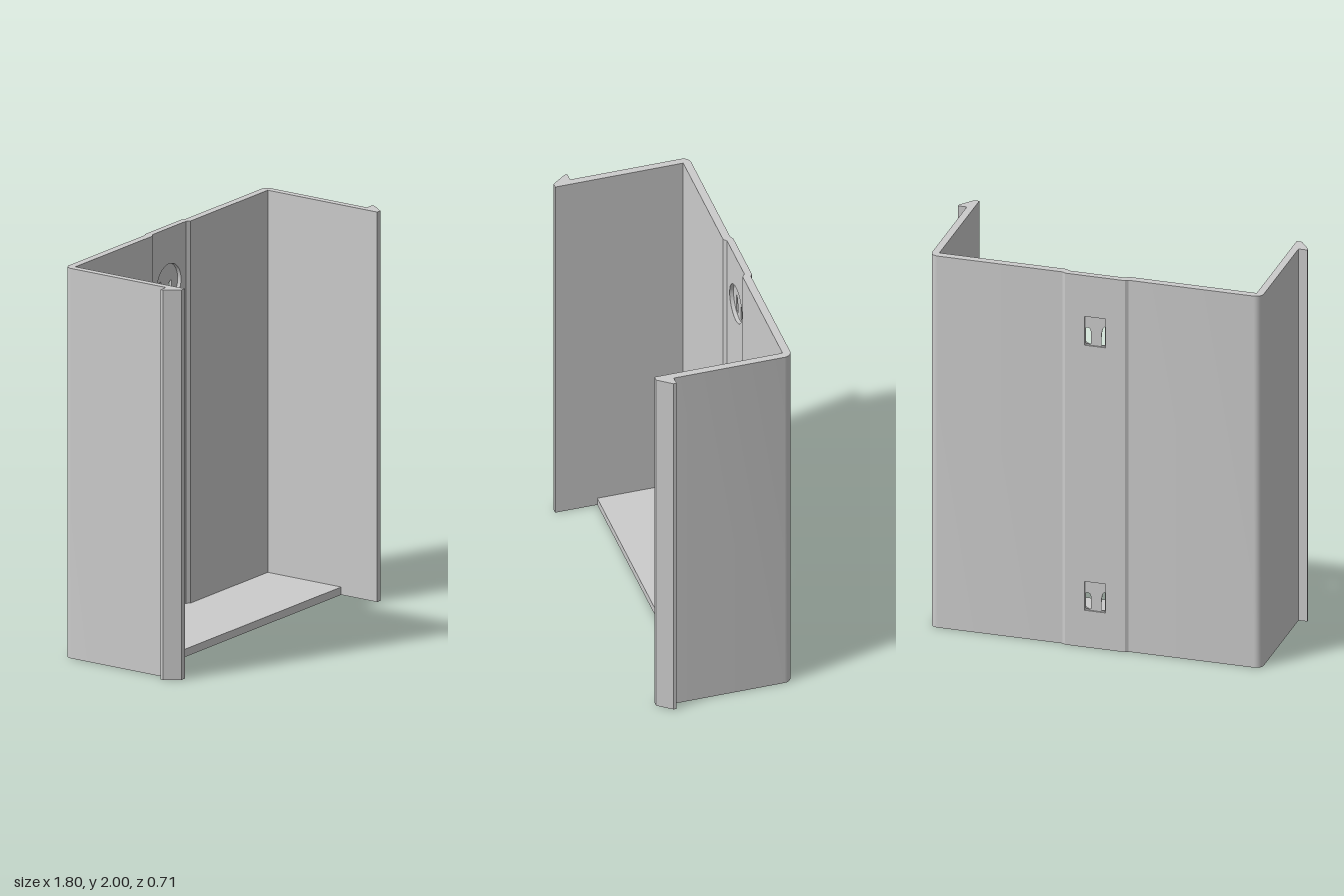
import * as THREE from 'three';
import { toCreasedNormals } from 'three/addons/utils/BufferGeometryUtils.js';

const HEIGHT = 2, HOLE_Y = [0.288, 1.715], STRIP = 0.14;
const material = new THREE.MeshStandardMaterial({ color: 0xcccccc });

function mesh(name, geometry) {
  const m = new THREE.Mesh(toCreasedNormals(geometry, 0.5), material);
  m.name = name;
  return m;
}

// Extrude an outline of [x, z] points upwards from y = 0
function extrudeUp(points, height) {
  const shape = new THREE.Shape(points.map(([x, z]) => new THREE.Vector2(x, -z)));
  return new THREE.ExtrudeGeometry(shape, { depth: height, bevelEnabled: false }).rotateX(-Math.PI / 2);
}

// Half of the channel: back panel, rounded corner, side wall and hooked lip
function halfProfile(side) {
  const corner = [];
  for (let i = 0; i <= 8; i++) {
    const a = (i / 8) * Math.PI / 2;
    corner.push([0.815 + 0.04 * Math.sin(a), -0.305 - 0.04 * Math.cos(a)]);
  }
  return [
    [STRIP, -0.355], [0.155, -0.355], [0.17, -0.345],
    ...corner,
    [0.855, 0.267], [0.9, 0.267], [0.9, 0.282], [0.845, 0.355], [0.818, 0.355],
    [0.818, -0.305], [0.162, -0.305], [0.142, -0.32], [STRIP, -0.32],
  ].map(([x, z]) => [x * side, z]);
}

// One layer of the raised centre strip, pierced by the given openings
function stripLayer(name, zBack, zFront, makeHoles) {
  const s = new THREE.Shape();
  s.moveTo(-STRIP, 0).lineTo(STRIP, 0).lineTo(STRIP, HEIGHT).lineTo(-STRIP, HEIGHT).closePath();
  HOLE_Y.forEach((y) => s.holes.push(...makeHoles(y)));
  const g = new THREE.ExtrudeGeometry(s, { depth: zFront - zBack, bevelEnabled: false, curveSegments: 40 });
  return mesh(name, g.translate(0, 0, zBack));
}

const roundOpening = (y) => [new THREE.Path().absarc(0, y, 0.101, 0, Math.PI * 2, true)];

const squareOpening = (y) => [new THREE.Path()
  .moveTo(-0.053, y - 0.09).lineTo(-0.053, y + 0.065).lineTo(0.053, y + 0.065).lineTo(0.053, y - 0.09).closePath()];

// Pair of narrow slots with curved tops
function slots(y) {
  const a = new THREE.Path();
  a.moveTo(-0.05, y - 0.083).lineTo(-0.05, y + 0.018);
  a.quadraticCurveTo(-0.03, y + 0.01, -0.03, y - 0.05);
  a.lineTo(-0.03, y - 0.083).closePath();
  const b = new THREE.Path();
  b.moveTo(0.024, y - 0.083).lineTo(0.024, y - 0.015);
  b.quadraticCurveTo(0.026, y + 0.002, 0.04, y + 0.004);
  b.lineTo(0.05, y + 0.004).lineTo(0.05, y - 0.083).closePath();
  return [a, b];
}

export function createModel() {
  const group = new THREE.Group();
  group.name = 'wallChannel';

  // Mirrored sides
  group.add(mesh('leftChannelHalf', extrudeUp(halfProfile(1), HEIGHT)));
  group.add(mesh('rightChannelHalf', extrudeUp(halfProfile(-1), HEIGHT)));

  // Centre strip: round recess in front, slotted web, square recess behind
  group.add(stripLayer('stripFront', -0.34, -0.32, roundOpening));
  group.add(stripLayer('stripWeb', -0.347, -0.34, slots));
  group.add(stripLayer('stripBack', -0.355, -0.347, squareOpening));

  // Floor plate, following the step of the back panel
  const floor = [
    [-0.818, 0.138], [0.818, 0.138], [0.818, -0.305], [0.162, -0.305],
    [0.142, -0.32], [-0.142, -0.32], [-0.162, -0.305], [-0.818, -0.305],
  ];
  group.add(mesh('floorPlate', extrudeUp(floor, 0.04)));
  return group;
}
